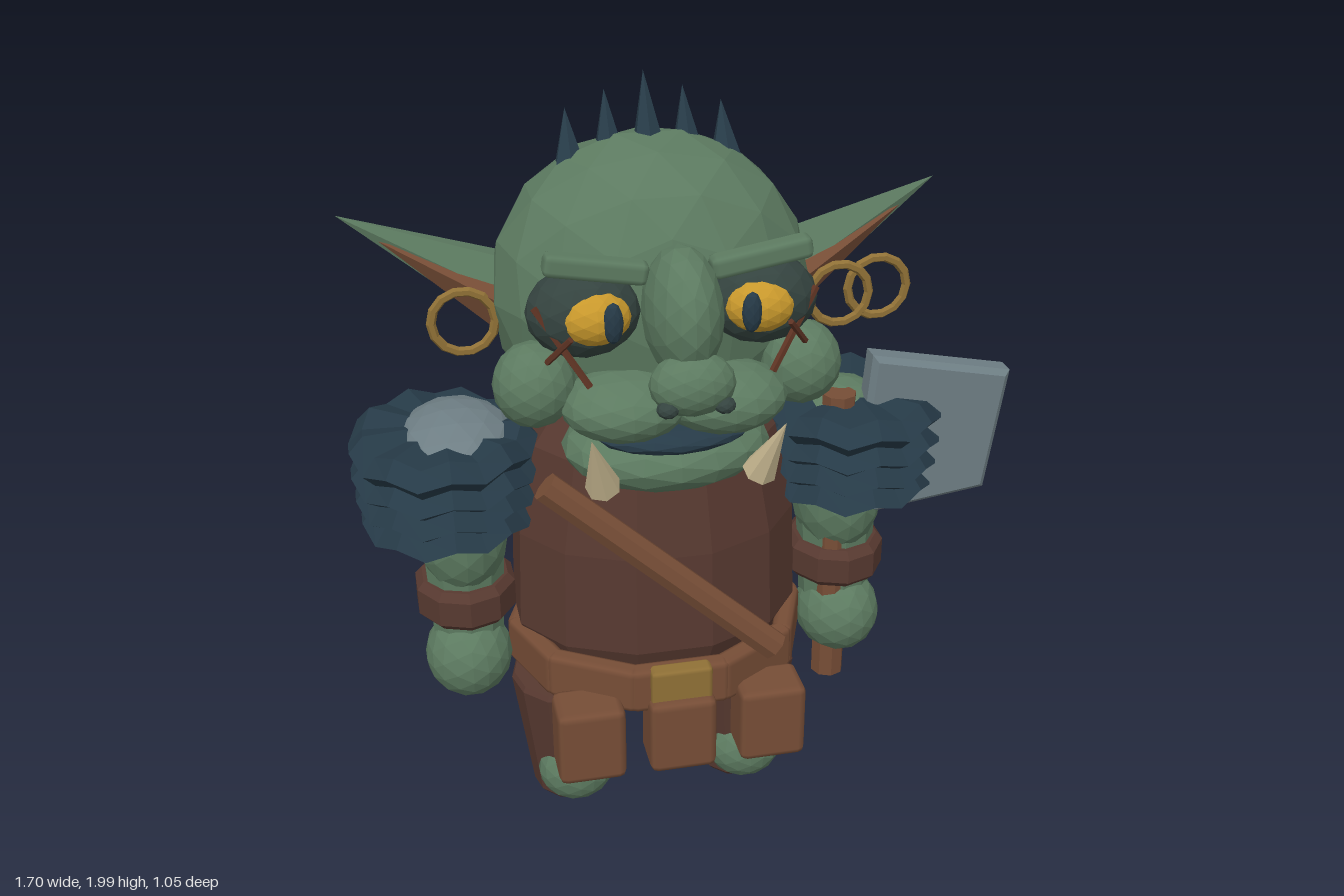
import * as THREE from 'three';
import { RoundedBoxGeometry } from 'three/addons/geometries/RoundedBoxGeometry.js';

const mat = (name, color) => {
  const m = new THREE.MeshStandardMaterial({ color });
  m.name = name;
  return m;
};
const skin = mat('green skin', 0x5c7a60);
const leather = mat('dark leather', 0x573930);
const tan = mat('tan leather', 0x764d36);
const fur = mat('blue black fur', 0x263a47);
const steel = mat('steel', 0x6e7e84);
const gold = mat('brass', 0x8f7036);
const amber = mat('amber eye', 0xc8982c);
const ivory = mat('ivory', 0xc9b992);
const socketMat = mat('eye socket', 0x34433f);
const scarMat = mat('scar brown', 0x5e3323);

const V = (x, y, z) => new THREE.Vector3(x, y, z);

// Split the faces so that every facet is flat
function flat(geo) {
  const g = geo.index ? geo.toNonIndexed() : geo;
  g.computeVertexNormals();
  return g;
}

export function createModel() {
  const model = new THREE.Group();
  model.name = 'goblin';
  model.position.x = -0.08;

  const add = (name, geo, material, x = 0, y = 0, z = 0) => {
    const m = new THREE.Mesh(geo, material);
    m.name = name;
    m.position.set(x, y, z);
    model.add(m);
    return m;
  };
  // Faceted ellipsoid
  const blob = (name, material, x, y, z, rx, ry, rz, detail = 2) => {
    const g = new THREE.IcosahedronGeometry(1, detail);
    g.scale(rx, ry, rz);
    return add(name, flat(g), material, x, y, z);
  };
  // Tapered faceted rod from a to b, optionally flattened in z
  const rod = (name, material, a, b, r0, r1, sides = 6, flatten = 1) => {
    const dir = b.clone().sub(a);
    const g = new THREE.CylinderGeometry(r1, r0, dir.length(), sides);
    g.scale(1, 1, flatten);
    const m = add(name, flat(g), material);
    m.position.copy(a).add(b).multiplyScalar(0.5);
    m.quaternion.setFromUnitVectors(V(0, 1, 0), dir.normalize());
    return m;
  };
  const box = (name, material, x, y, z, w, h, d, r = 0.018) =>
    add(name, new RoundedBoxGeometry(w, h, d, 1, r), material, x, y, z);
  const lathe = (pts, sides) =>
    new THREE.LatheGeometry(pts.map(p => new THREE.Vector2(p[0], p[1])), sides);

  // Torso
  const torso = lathe([[0, 0.41], [0.28, 0.41], [0.32, 0.46], [0.385, 0.59],
    [0.375, 0.86], [0.325, 1.1], [0.29, 1.15], [0, 1.16]], 12);
  torso.rotateY(Math.PI / 12);
  torso.scale(1, 1, 0.78);
  add('tunic', flat(torso), leather, 0, 0, -0.03);

  // Belt made of straight pieces around the waist
  const N = 10;
  for (let i = 0; i < N; i++) {
    const at = k => {
      const t = (k - 0.5) / N * Math.PI * 2;
      return V(Math.sin(t) * 0.375, 0.52, Math.cos(t) * 0.32);
    };
    const a = at(i), b = at(i + 1);
    const m = box('beltPiece', tan, (a.x + b.x) / 2, 0.52, (a.z + b.z) / 2,
      a.distanceTo(b) + 0.03, 0.125, 0.055);
    m.rotation.y = -Math.atan2(b.z - a.z, b.x - a.x);
  }
  box('buckle', gold, 0, 0.535, 0.325, 0.16, 0.1, 0.05, 0.012);
  for (const x of [-0.237, 0, 0.237]) box('pouch', tan, x, 0.395, 0.305, 0.175, 0.21, 0.135, 0.02);

  // Chest strap and bedroll
  const strap = rod('chestStrap', tan, V(-0.315, 1.09, 0.235), V(0.25, 0.6, 0.31), 0.04, 0.04, 8);
  strap.scale.z = 0.9;
  blob('bedroll', leather, 0, 0.9, -0.36, 0.37, 0.18, 0.17);

  // Head and crest
  blob('head', skin, 0, 1.485, -0.03, 0.4, 0.39, 0.315);
  [-0.19, -0.095, 0, 0.095, 0.19].forEach((x, i) => {
    const k = Math.abs(i - 2);
    rod('crestSpike', fur, V(x, 1.78 - k * 0.015, -0.015), V(x, 2 - k * 0.04, -0.09), 0.053, 0, 6);
  });

  // Nose, mouth and jaw
  blob('noseBridge', skin, 0, 1.555, 0.345, 0.092, 0.155, 0.15);
  blob('noseTip', skin, 0, 1.425, 0.45, 0.1, 0.075, 0.072);
  blob('jaw', skin, 0, 1.14, 0.15, 0.26, 0.1, 0.2);
  blob('mouth', fur, 0, 1.21, 0.23, 0.19, 0.04, 0.12);

  for (const s of [-1, 1]) {
    // Face
    blob('nostril', socketMat, s * 0.065, 1.385, 0.49, 0.026, 0.02, 0.026, 1);
    blob('muzzle', skin, s * 0.12, 1.3, 0.255, 0.155, 0.085, 0.135);
    blob('cheek', skin, s * 0.325, 1.345, 0.2, 0.1, 0.105, 0.1);
    blob('eyeSocket', socketMat, s * 0.21, 1.535, 0.24, 0.135, 0.108, 0.105);
    blob('eye', amber, s * 0.195, 1.54, 0.285, 0.09, 0.07, 0.08);
    blob('pupil', fur, s * 0.16, 1.545, 0.355, 0.024, 0.05, 0.018, 1);
    const brow = box('brow', skin, s * 0.19, 1.662, 0.31, 0.24, 0.055, 0.055, 0.016);
    brow.rotation.z = s * 0.17;
    rod('tusk', ivory, V(s * 0.19, 1.13, 0.34), V(s * 0.228, 1.295, 0.43), 0.043, 0, 7);
    rod('cheekScar', scarMat, V(s * 0.33, 1.57, 0.29), V(s * 0.215, 1.39, 0.345), 0.009, 0.009, 5);
    rod('cheekScar', scarMat, V(s * 0.305, 1.44, 0.3), V(s * 0.255, 1.51, 0.345), 0.008, 0.008, 5);

    // Ears
    rod('ear', skin, V(s * 0.28, 1.45, -0.065), V(s * 0.745, 1.695, -0.085), 0.115, 0, 6, 0.75);
    rod('innerEar', tan, V(s * 0.305, 1.44, -0.02), V(s * 0.65, 1.632, -0.062), 0.085, 0, 4, 0.75);

    // Arms
    blob('shoulder', skin, s * 0.5, 1.08, -0.03, 0.14, 0.105, 0.13);
    blob('upperArm', skin, s * 0.505, 0.85, -0.025, 0.12, 0.17, 0.145);
    rod('forearm', skin, V(s * 0.505, 0.55, -0.01), V(s * 0.505, 0.85, -0.02), 0.095, 0.11, 10);
    const cuff = lathe([[0, 0.62], [0.115, 0.62], [0.133, 0.64], [0.133, 0.71], [0.115, 0.73], [0, 0.73]], 10);
    cuff.scale(1, 1, 1.1);
    add('cuff', flat(cuff), leather, s * 0.505, 0, -0.025);
    blob('hand', skin, s * 0.51, 0.505, 0.015, 0.115, 0.118, 0.128);

    // Shaggy shoulder pad with ragged tiers
    const pad = lathe([[0, 0.9], [0.17, 0.89], [0.222, 0.91], [0.19, 0.95], [0.232, 0.975],
      [0.2, 1.015], [0.238, 1.04], [0.205, 1.075], [0.238, 1.11], [0.2, 1.15], [0, 1.155]], 18);
    const p = pad.attributes.position;
    for (let i = 0; i < p.count; i++) {
      const t = Math.atan2(p.getX(i), p.getZ(i));
      const r = Math.hypot(p.getX(i), p.getZ(i));
      if (r > 0.1) p.setY(i, p.getY(i) + 0.011 * Math.cos(9 * t) + 0.006 * Math.sin(2 * t));
    }
    pad.scale(1, 1, 1.12);
    add('furPad', flat(pad), fur, s * 0.535, 0, -0.03);

    // Legs and toes
    const leg = lathe([[0, 0.01], [0.095, 0.01], [0.108, 0.025], [0.157, 0.375], [0.15, 0.39], [0, 0.39]], 12);
    leg.scale(1, 1, 1.04);
    add('leg', flat(leg), leather, s * 0.24, 0, -0.025);
    blob('toes', skin, s * 0.24, 0.11, 0.055, 0.105, 0.095, 0.09);
  }

  // Steel plate on the right shoulder
  blob('shoulderPlate', steel, -0.5, 1.09, -0.03, 0.16, 0.105, 0.21);

  // Earrings
  for (const [x, z] of [[-0.467, 0.01], [0.473, 0.025], [0.583, -0.005]])
    add('earring', flat(new THREE.TorusGeometry(0.078, 0.012, 6, 14)), gold, x, 1.44, z);

  // Cleaver held in the left hand
  rod('cleaverHandle', tan, V(0.48, 0.325, 0.045), V(0.48, 1.175, 0.045), 0.045, 0.045, 8);
  const outline = new THREE.Shape([[0.535, 0.835], [0.875, 0.882], [0.918, 1.195], [0.57, 1.265]]
    .map(q => new THREE.Vector2(q[0], q[1])));
  add('cleaverBlade', new THREE.ExtrudeGeometry(outline, {
    depth: 0.05, bevelEnabled: true, bevelThickness: 0.015, bevelSize: 0.015, bevelSegments: 1,
  }), steel, 0, 0, 0.02);

  return model;
}
